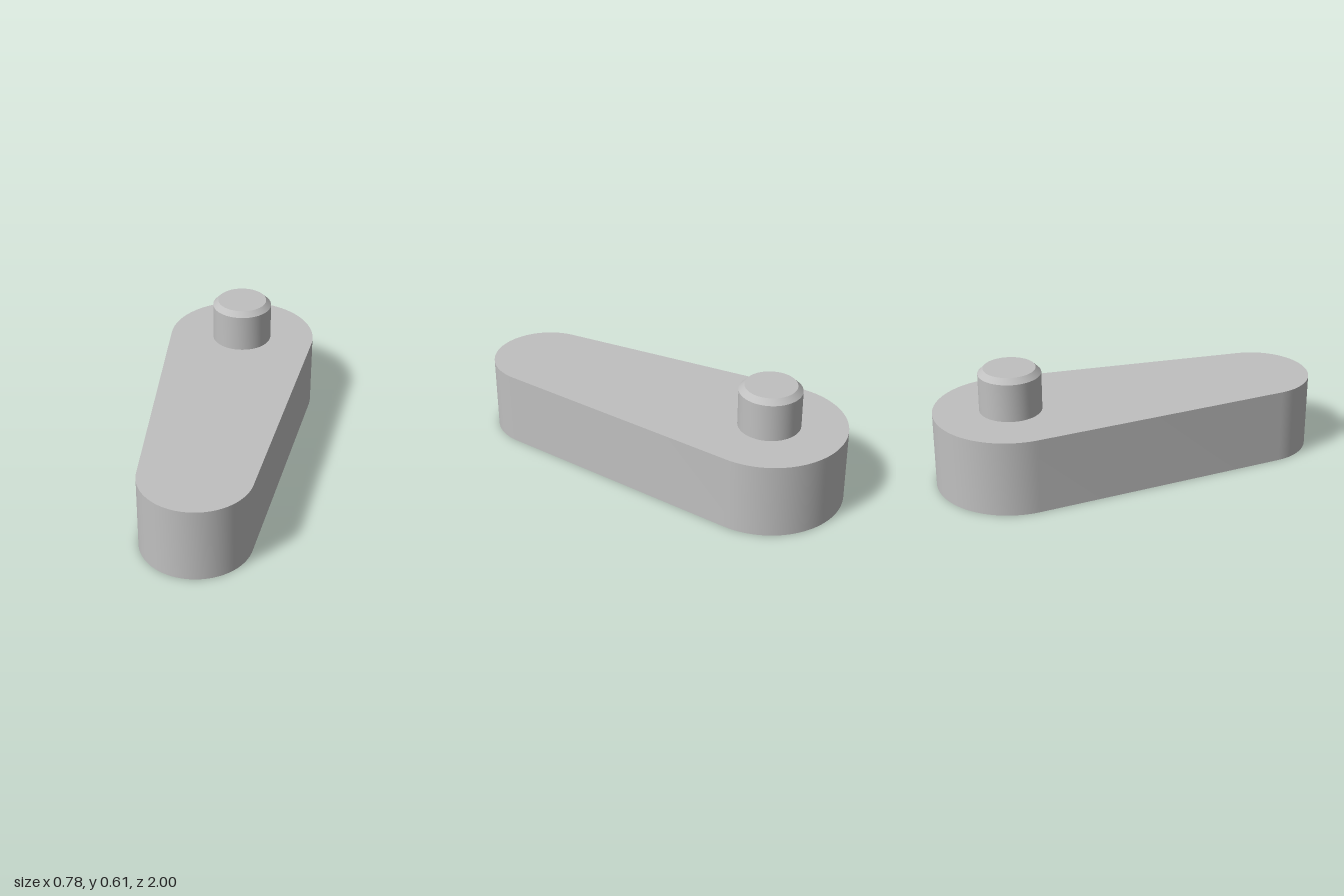
import * as THREE from 'three';
import { toCreasedNormals } from 'three/addons/utils/BufferGeometryUtils.js';

const PIVOT_Z = -0.611, PIVOT_R = 0.389; // wide rear end
const TIP_Z = 0.722, TIP_R = 0.278; // narrow front end
const HEIGHT = 0.389;

export function createModel() {
  const group = new THREE.Group();
  const grey = new THREE.MeshStandardMaterial({ color: 0xc0c0c0 });
  grey.name = 'light grey';

  // Tapered arm: two round ends joined by their common tangents
  const a = Math.asin((PIVOT_R - TIP_R) / (TIP_Z - PIVOT_Z));
  const outline = new THREE.Shape();
  outline.absarc(0, -PIVOT_Z, PIVOT_R, -a, Math.PI + a, false);
  outline.absarc(0, -TIP_Z, TIP_R, Math.PI + a, 2 * Math.PI - a, false);
  const armGeometry = new THREE.ExtrudeGeometry(outline, {
    depth: HEIGHT, bevelEnabled: false, curveSegments: 32,
  });
  armGeometry.rotateX(-Math.PI / 2);
  const arm = new THREE.Mesh(toCreasedNormals(armGeometry, 0.5), grey);
  arm.name = 'arm';

  // Round pin with a chamfered top
  const profile = [[0.157, HEIGHT], [0.157, 0.584], [0.13, 0.611], [0, 0.611]]
    .map(([r, y]) => new THREE.Vector2(r, y));
  const pinGeometry = new THREE.LatheGeometry(profile, 64);
  const pin = new THREE.Mesh(toCreasedNormals(pinGeometry, 0.5), grey);
  pin.name = 'pin';
  pin.position.z = PIVOT_Z;

  group.add(arm, pin);
  return group;
}
